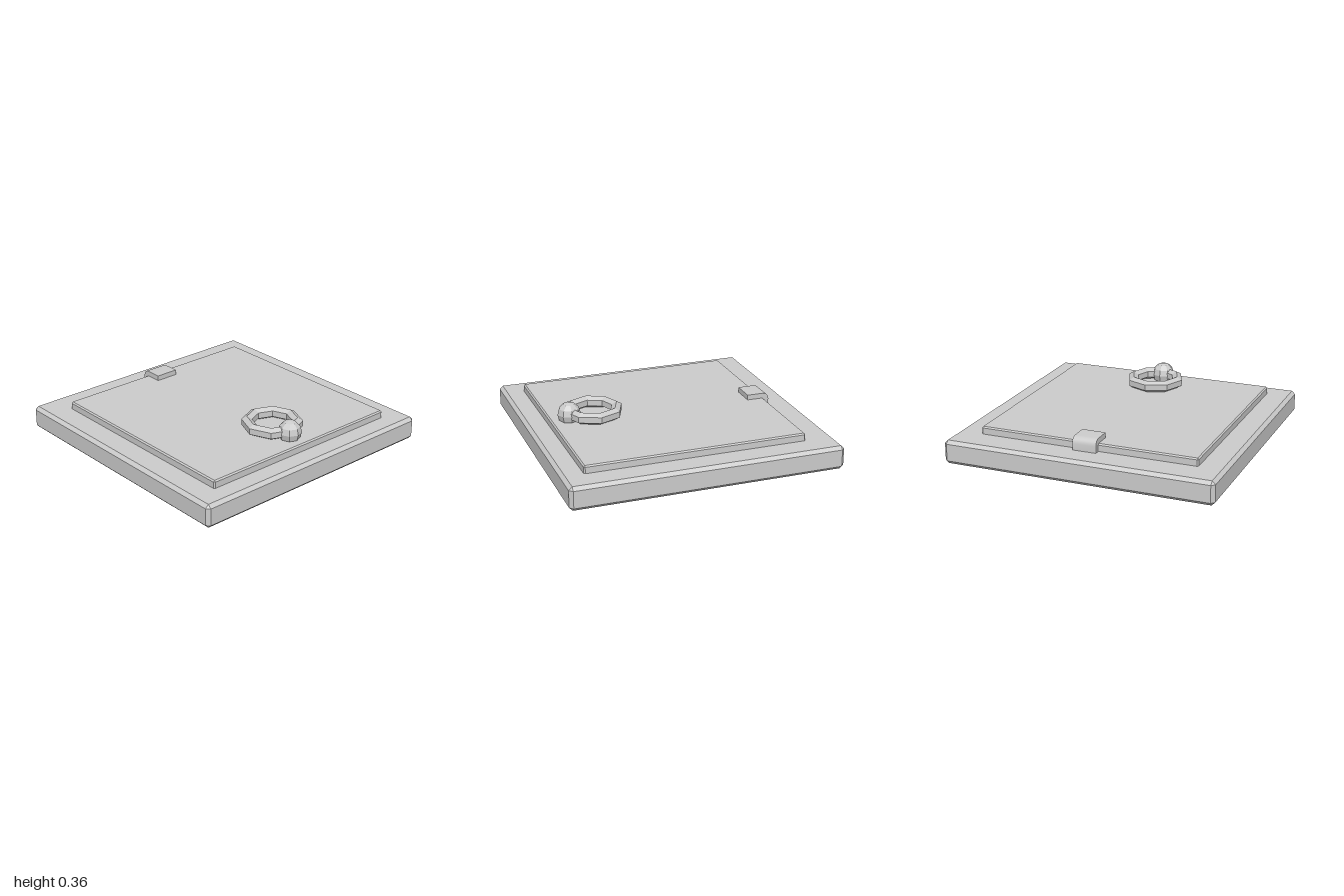
import * as THREE from 'three';
import { toCreasedNormals } from 'three/addons/utils/BufferGeometryUtils.js';

const material = new THREE.MeshStandardMaterial({ color: 0xcccccc, flatShading: true });
const smoothMaterial = new THREE.MeshStandardMaterial({ color: 0xcccccc });

// Skins square rings given as [half size, height, corner cut], listed upwards on the outside.
function loftSquares(rings) {
  const corners = [[1, 1], [1, -1], [-1, -1], [-1, 1]];
  const loops = rings.map(([half, y, cut = 0]) => corners.flatMap(([sx, sz], i) => {
    const onZ = [sx * (half - cut), y, sz * half];
    const onX = [sx * half, y, sz * (half - cut)];
    return i % 2 ? [onX, onZ] : [onZ, onX];
  }));
  const positions = [];
  for (let k = 0; k < loops.length - 1; k++) {
    for (let i = 0; i < 8; i++) {
      const j = (i + 1) % 8;
      const a = loops[k][i], b = loops[k][j], c = loops[k + 1][j], d = loops[k + 1][i];
      positions.push(...a, ...b, ...c, ...a, ...c, ...d);
    }
  }
  const geometry = new THREE.BufferGeometry();
  geometry.setAttribute('position', new THREE.Float32BufferAttribute(positions, 3));
  geometry.computeVertexNormals();
  return geometry;
}

export function createModel() {
  const model = new THREE.Group();
  model.name = 'trapdoor';

  function add(name, geometry, mat, x = 0, y = 0, z = 0) {
    const mesh = new THREE.Mesh(geometry, mat);
    mesh.name = name;
    mesh.position.set(x, y, z);
    model.add(mesh);
    return mesh;
  }

  // Chamfered square frame with an open middle
  add('frame', loftSquares([
    [0.76, 0], [0.975, 0], [1, 0.025, 0.025], [1, 0.15, 0.025],
    [0.975, 0.174], [0.76, 0.174], [0.76, 0],
  ]), material);

  // Door panel resting on the frame, set slightly forward
  add('doorPanel', loftSquares([
    [0, 0.17], [0.813, 0.17, 0.01], [0.813, 0.22, 0.01], [0.803, 0.23], [0, 0.23],
  ]), material, 0, 0, 0.034);

  // Pull ring: a hexagonal section turned into eight straight pieces
  const section = [];
  for (let i = 0; i <= 6; i++) {
    const angle = (i - 0.5) * Math.PI / 3;
    section.push(new THREE.Vector2(0.18 + 0.044 * Math.cos(angle), 0.044 * Math.sin(angle)));
  }
  add('pullRing', new THREE.LatheGeometry(section, 8), material, 0, 0.28, 0.533);

  // Ball that holds the ring
  add('ringMount', new THREE.SphereGeometry(0.086, 8, 6), material, 0, 0.277, 0.713);

  // Hinge bent over the back edge of the panel; its profile is drawn in (-z, y)
  const profile = new THREE.Shape();
  profile.moveTo(0.65, 0.225);
  profile.lineTo(0.775, 0.225);
  profile.lineTo(0.775, 0.17);
  profile.lineTo(0.82, 0.17);
  profile.lineTo(0.82, 0.222);
  profile.quadraticCurveTo(0.816, 0.266, 0.77, 0.268);
  profile.lineTo(0.65, 0.268);
  profile.closePath();
  const hinge = new THREE.ExtrudeGeometry(profile, { depth: 0.176, bevelEnabled: false, curveSegments: 5 });
  hinge.translate(0, 0, -0.088);
  hinge.rotateY(Math.PI / 2);
  add('hinge', toCreasedNormals(hinge, 0.6), smoothMaterial);

  return model;
}
